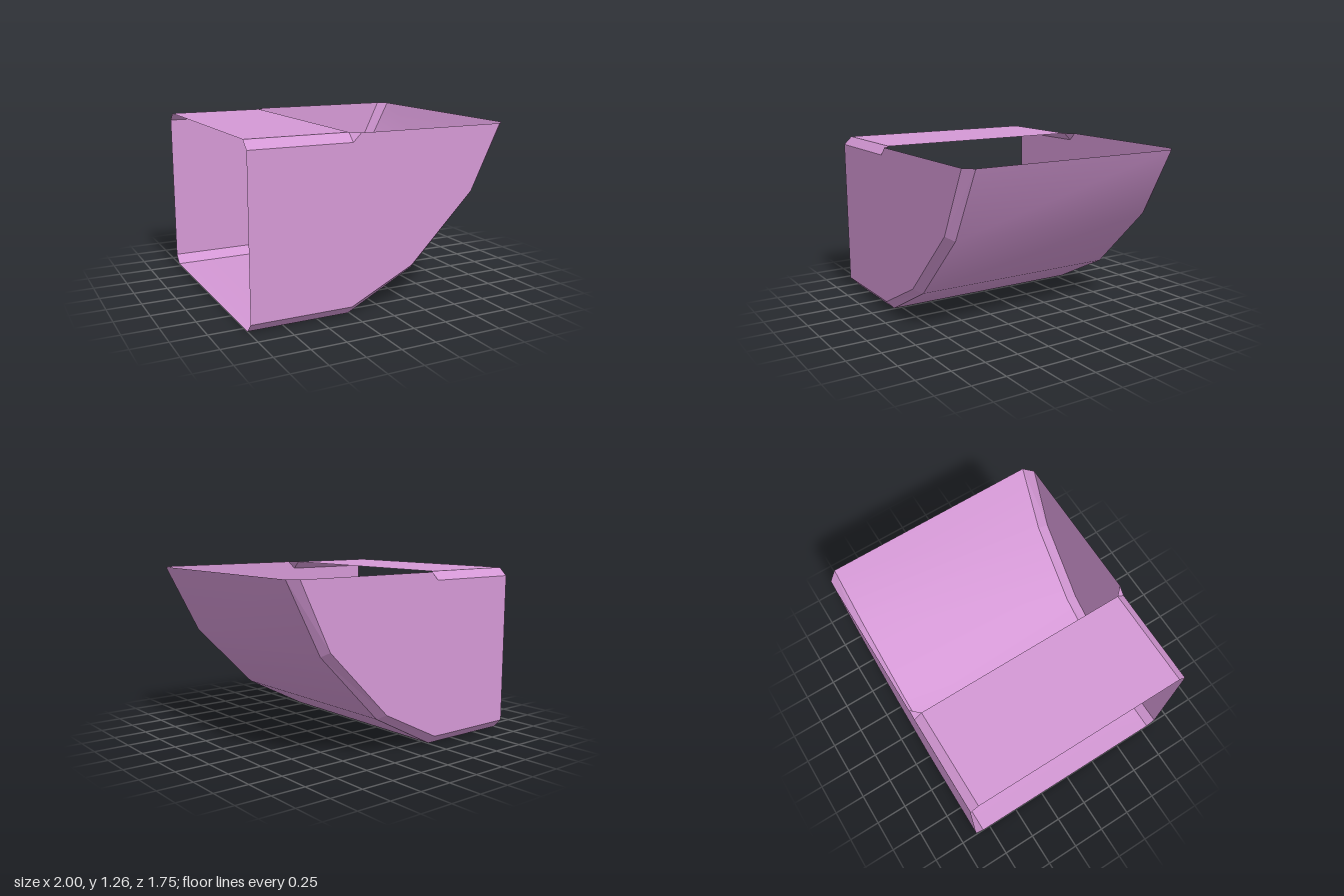
import * as THREE from 'three';

const IN = 0.81, OUT = 0.873, TOP = 1.26, RIM = 1.2;

// Profiles in x, y: curved floor, and its inset edge on the side walls
const floorLine = [[-1, 0], [-0.26, 0], [0.25, 0.262], [0.735, 0.75], [1, TOP]];
const wallLine = [[-1, 0.065], [-0.26, 0.065], [0.213, 0.297], [0.703, 0.785], [0.935, TOP]];
const lidLine = [[-1, TOP], [-0.26, TOP]];
const lidEdge = [[-1, RIM], [-0.26, RIM]];

// Band of quads joining two profiles lying at depths za and zb
function strip(a, za, b, zb, smooth) {
  const pos = [], index = [];
  a.forEach((p, i) => {
    pos.push(...p, za, ...b[i], zb);
    const k = 2 * i;
    if (i < a.length - 1) index.push(k, k + 1, k + 3, k, k + 3, k + 2);
  });
  return finish(pos, index, smooth);
}

function finish(pos, index, smooth) {
  let geo = new THREE.BufferGeometry();
  geo.setAttribute('position', new THREE.Float32BufferAttribute(pos, 3));
  geo.setIndex(index);
  if (!smooth) geo = geo.toNonIndexed();
  geo.computeVertexNormals();
  return geo;
}

export function createModel() {
  const model = new THREE.Group();
  model.name = 'openScoop';
  const orchid = new THREE.MeshStandardMaterial({ color: 0xd498d5, side: THREE.DoubleSide });
  orchid.name = 'orchid';

  const add = (parent, name, geo) => {
    const mesh = new THREE.Mesh(geo, orchid);
    mesh.name = name;
    parent.add(mesh);
  };

  // Smooth curved floor and the flat half lid
  add(model, 'floor', strip(floorLine, IN, floorLine, -IN, true));
  add(model, 'lid', strip(lidLine, -IN, lidLine, IN, false));

  // Side wall with its bevels, mirrored front to back
  for (const s of [1, -1]) {
    const side = new THREE.Group();
    side.name = s > 0 ? 'frontSide' : 'backSide';
    side.scale.z = s;
    const outline = [...wallLine, [-0.2, TOP], [-0.26, RIM], [-1, RIM]];
    const wall = new THREE.ShapeGeometry(new THREE.Shape(outline.map(p => new THREE.Vector2(...p))));
    wall.translate(0, 0, OUT);
    add(side, 'wall', wall);
    add(side, 'floorBevel', strip(wallLine, OUT, floorLine, IN, false));
    add(side, 'lidBevel', strip(lidLine, IN, lidEdge, OUT, false));
    // Small triangle closing the corner of the lid
    add(side, 'lidCorner', finish(
      [-0.26, TOP, IN, -0.26, RIM, OUT, -0.2, TOP, OUT], [0, 1, 2], false));
    model.add(side);
  }
  return model;
}
